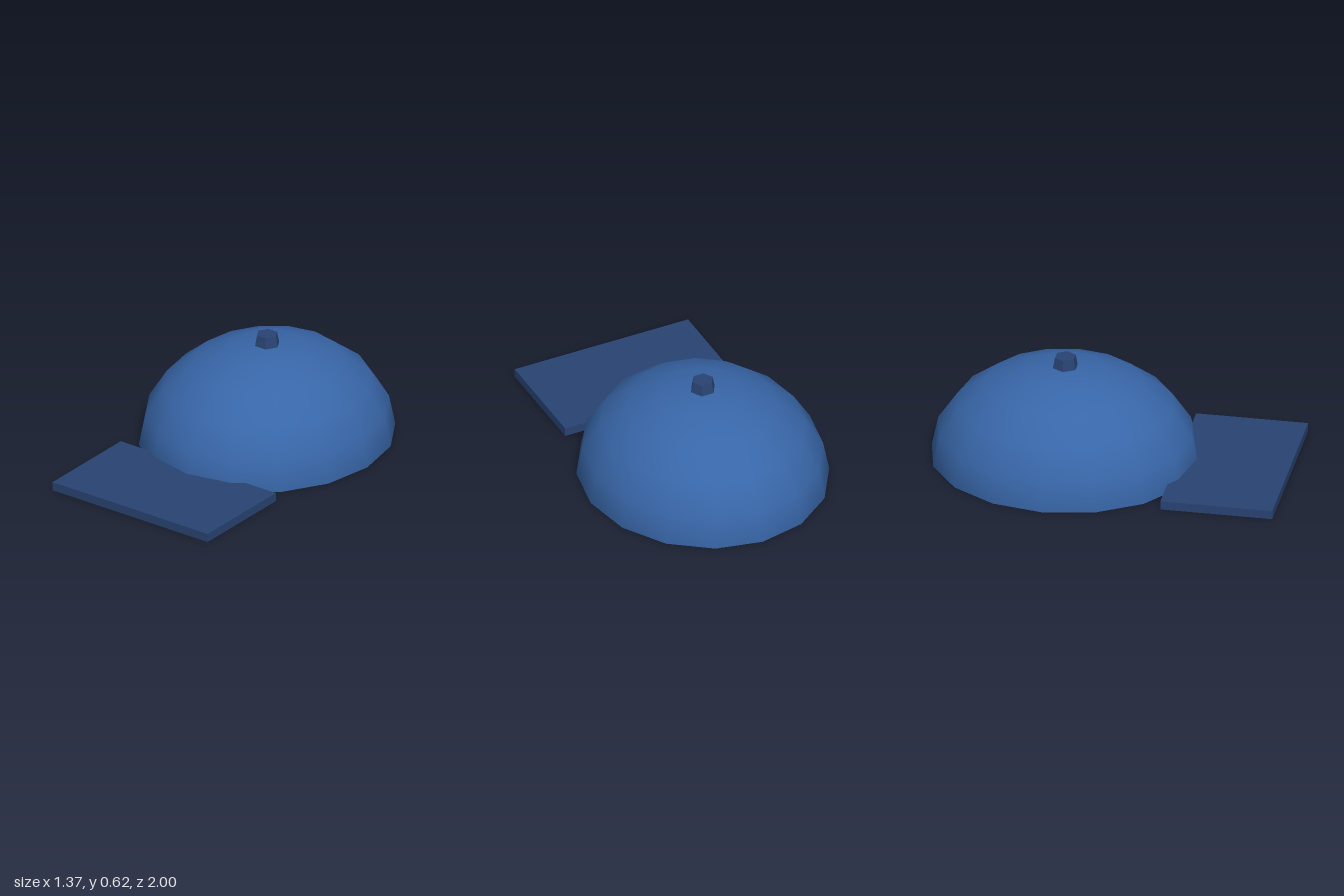
import * as THREE from 'three';

export function createModel() {
  const group = new THREE.Group();
  const crownMaterial = new THREE.MeshStandardMaterial({ color: 0x3866a8, side: THREE.DoubleSide });
  const trimMaterial = new THREE.MeshStandardMaterial({ color: 0x284372, flatShading: true });
  const crownZ = -0.255;

  const add = (name, geometry, material, x, y, z) => {
    const mesh = new THREE.Mesh(geometry, material);
    mesh.name = name;
    mesh.position.set(x, y, z);
    group.add(mesh);
    return mesh;
  };

  // Crown: open hollow half-ellipsoid, a little longer than wide
  const dome = new THREE.SphereGeometry(1, 16, 5, 0, Math.PI * 2, 0, Math.PI / 2);
  dome.scale(0.685, 0.56, 0.745);
  add('crown', dome, crownMaterial, 0, 0, crownZ);

  // Brim: flat slab whose back edge runs into the crown
  add('brim', new THREE.BoxGeometry(1.06, 0.05, 0.625), trimMaterial, 0, 0.025, 0.6875);

  // Top button: tapered hexagon with corners on the x axis
  const button = new THREE.CylinderGeometry(0.06, 0.072, 0.062, 6);
  button.rotateY(Math.PI / 2);
  add('topButton', button, trimMaterial, 0, 0.584, crownZ);

  return group;
}
